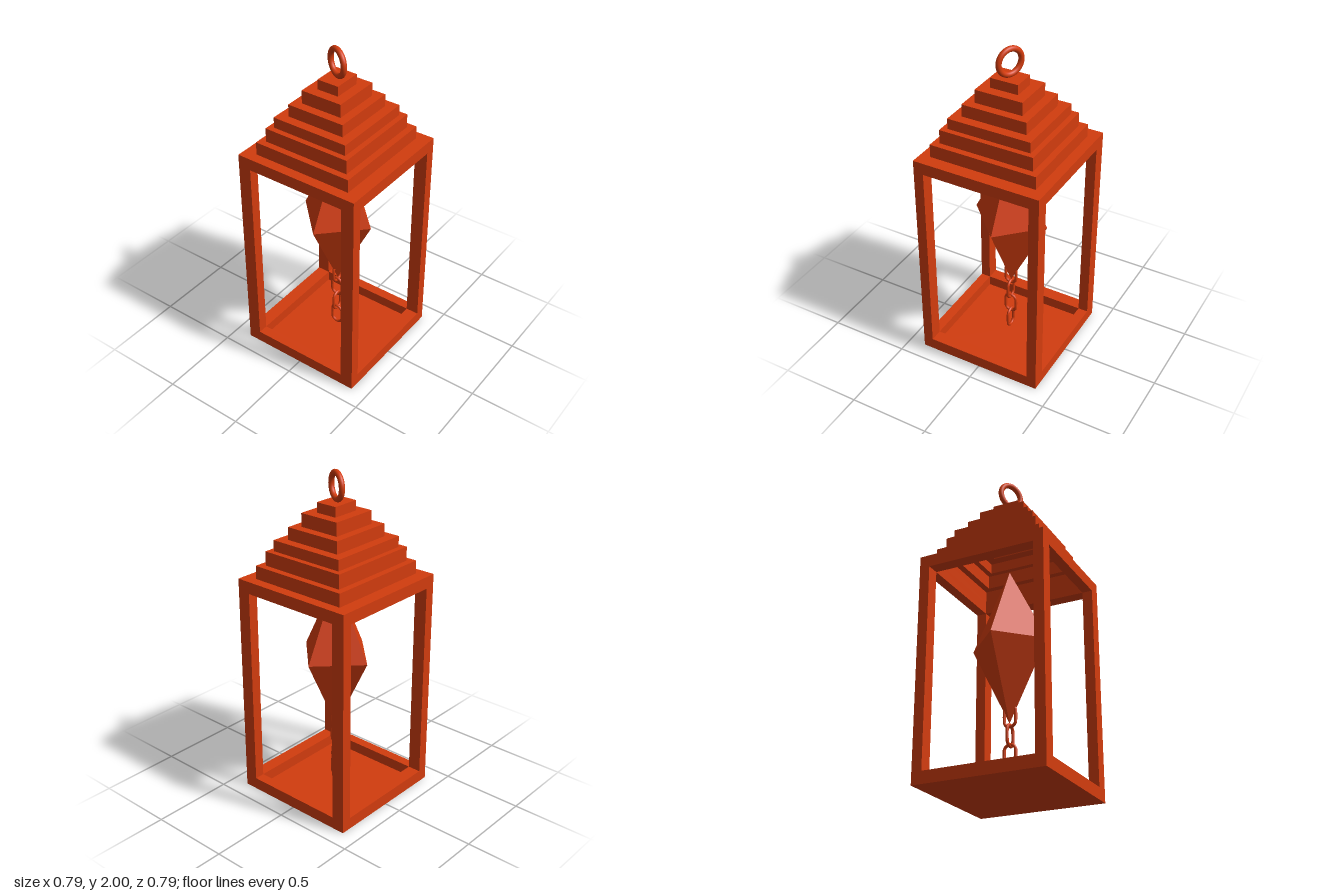
import * as THREE from 'three';

const W = 0.395;              // half width of the frame
const IX = 0.333, IZ = 0.314; // half size of the inner opening
const RAIL = 0.073, TOP = 1.375, BEAM = 1.302;

export function createModel() {
  const group = new THREE.Group();
  const color = 0xd23c0e;
  const flat = new THREE.MeshStandardMaterial({ color, flatShading: true });
  const shell = new THREE.MeshStandardMaterial({ color, flatShading: true, side: THREE.DoubleSide });
  const smooth = new THREE.MeshStandardMaterial({ color });

  const add = (name, geometry, material, x = 0, y = 0, z = 0) => {
    const mesh = new THREE.Mesh(geometry, material);
    mesh.name = name;
    mesh.position.set(x, y, z);
    group.add(mesh);
    return mesh;
  };

  const rectangle = (path, hx, hz) => path
    .moveTo(-hx, -hz).lineTo(hx, -hz).lineTo(hx, hz).lineTo(-hx, hz).closePath();

  // Rectangular rails at the bottom and top of the frame
  const ring = new THREE.Shape();
  rectangle(ring, W, W);
  const hole = new THREE.Path();
  rectangle(hole, IX, IZ);
  ring.holes.push(hole);
  const rail = new THREE.ExtrudeGeometry(ring, { depth: RAIL, bevelEnabled: false });
  rail.rotateX(-Math.PI / 2);
  add('bottomRail', rail, flat);
  add('topRail', rail, flat, 0, BEAM);

  // Thin floor sunk inside the bottom rail
  add('floor', new THREE.BoxGeometry(2 * IX, 0.006, 2 * IZ), flat, 0, 0.003);

  // Corner posts
  const post = new THREE.BoxGeometry(W - IX, BEAM - RAIL, W - IZ);
  for (const sx of [-1, 1]) for (const sz of [-1, 1]) {
    add('cornerPost', post, flat, sx * (W + IX) / 2, (BEAM + RAIL) / 2, sz * (W + IZ) / 2);
  }

  // Hollow stepped roof: half width, half depth, top height of each tier
  const tiers = [
    [IX, IZ, 1.455], [0.293, 0.274, 1.54], [0.259, 0.241, 1.605],
    [0.202, 0.182, 1.68], [0.148, 0.13, 1.76], [0.087, 0.068, 1.82],
  ];
  const loops = [];
  let base = TOP;
  for (const [hx, hz, y] of tiers) {
    loops.push([hx, base, hz], [hx, y, hz]);
    base = y;
  }
  loops.push([0, base, 0]);
  add('steppedRoof', loftRectangles(loops), shell);

  // Crystal hanging inside
  const crystal = new THREE.OctahedronGeometry(1);
  crystal.scale(0.24, 0.48, 0.24);
  add('crystal', crystal, flat, 0.007, 0.89, -0.002);

  // Chain of alternating oval links
  const link = linkGeometry(0.036, 0.027, 0.009);
  for (let i = 0; i < 4; i++) {
    const mesh = add('chainLink', link, smooth, 0.004, 0.452 - i * 0.115, -0.003);
    mesh.rotation.y = (i % 2) * Math.PI / 2;
  }

  // Hanging ring, turned on its vertical axis
  const hanger = add('hangingRing', new THREE.TorusGeometry(0.075, 0.017, 16, 48), smooth, 0, 1.908, 0);
  hanger.rotation.y = 1.12;

  return group;
}

// Joins successive rectangles [halfX, y, halfZ] with outward facing quads
function loftRectangles(loops) {
  const corners = [[1, 1], [1, -1], [-1, -1], [-1, 1]];
  const positions = [], index = [];
  for (const [hx, y, hz] of loops) {
    for (const [sx, sz] of corners) positions.push(sx * hx, y, sz * hz);
  }
  for (let i = 0; i < loops.length - 1; i++) {
    for (let j = 0; j < 4; j++) {
      const a = i * 4 + j, b = i * 4 + (j + 1) % 4;
      index.push(a, b, b + 4, a, b + 4, a + 4);
    }
  }
  const indexed = new THREE.BufferGeometry();
  indexed.setAttribute('position', new THREE.Float32BufferAttribute(positions, 3));
  indexed.setIndex(index);
  const geometry = indexed.toNonIndexed();
  geometry.computeVertexNormals();
  return geometry;
}

// Stadium-shaped link: a torus split at its middle and stretched upright
function linkGeometry(radius, halfStraight, tube) {
  const geometry = new THREE.TorusGeometry(radius, tube, 10, 34);
  const p = geometry.attributes.position;
  for (let i = 0; i < p.count; i++) {
    const y = p.getY(i);
    p.setY(i, y + Math.sign(Math.round(y * 1e4)) * halfStraight);
  }
  geometry.computeVertexNormals();
  return geometry;
}
